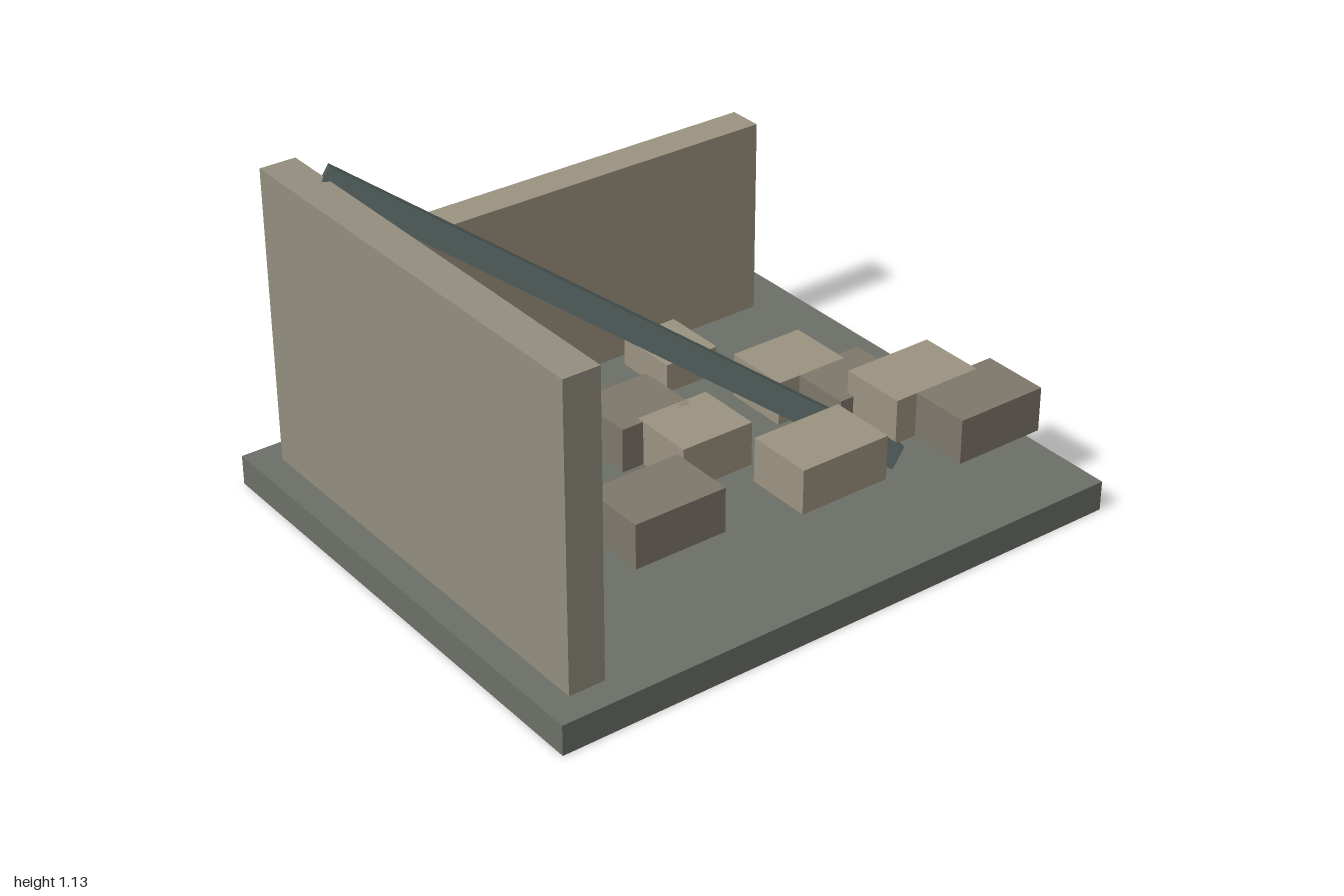
import * as THREE from 'three';

const paint = (color) => new THREE.MeshStandardMaterial({ color, flatShading: true });

export function createModel() {
  const model = new THREE.Group();
  const sand = paint(0x9c9380), drab = paint(0x7e786b);

  // Box given by its extents on each axis
  const block = (name, material, [x0, x1], [y0, y1], [z0, z1]) => {
    const mesh = new THREE.Mesh(new THREE.BoxGeometry(x1 - x0, y1 - y0, z1 - z0), material);
    mesh.position.set((x0 + x1) / 2, (y0 + y1) / 2, (z0 + z1) / 2);
    mesh.name = name;
    model.add(mesh);
    return mesh;
  };

  // Ground slab and the two standing walls
  block('groundSlab', paint(0x6b7067), [-1, 1], [0, 0.1], [-0.85, 0.85]);
  block('sideWall', paint(0x938d7f), [-0.91, -0.79], [0.1, 1.09], [-0.76, 0.755]);
  block('backWall', sand, [-0.79, 0.845], [0.1, 0.775], [-0.76, -0.643]);

  // Rubble in three tiers: width, bottom height, then [left x, back z, material]
  const tiers = [
    { width: 0.2, y: 0.05, blocks: [
      [-0.83, -0.73, sand], [-0.75, -0.525, drab], [-0.28, -0.66, drab],
      [-0.2, -0.46, sand], [0.27, -0.593, sand]] },
    { width: 0.26, y: 0.127, blocks: [
      [-0.62, -0.127, drab], [-0.15, -0.26, drab], [-0.072, -0.06, sand],
      [0.4, -0.19, sand], [0.48, 0.008, drab]] },
    { width: 0.32, y: 0.205, blocks: [
      [-0.497, 0.275, drab], [0.057, 0.34, sand], [0.53, 0.207, sand], [0.608, 0.41, drab]] },
  ];
  for (const { width, y, blocks } of tiers) {
    for (const [x, z, material] of blocks) {
      block('rubbleBlock', material, [x, x + width], [y, y + 0.15], [z, z + 0.227]);
    }
  }

  // Fallen beam leaning from the wall top to the rubble
  const top = new THREE.Vector3(-0.79, 1.087, -0.607);
  const foot = new THREE.Vector3(0.54, 0.156, 0.425);
  const run = foot.clone().sub(top);
  const length = run.length();
  const beam = new THREE.Mesh(new THREE.BoxGeometry(length, 0.078, 0.078), paint(0x4f5c5b));
  beam.name = 'fallenBeam';
  beam.position.addVectors(top, foot).multiplyScalar(0.5);
  beam.rotation.set(0, -Math.asin(run.z / length), Math.atan2(run.y, run.x), 'ZYX');
  model.add(beam);

  return model;
}
